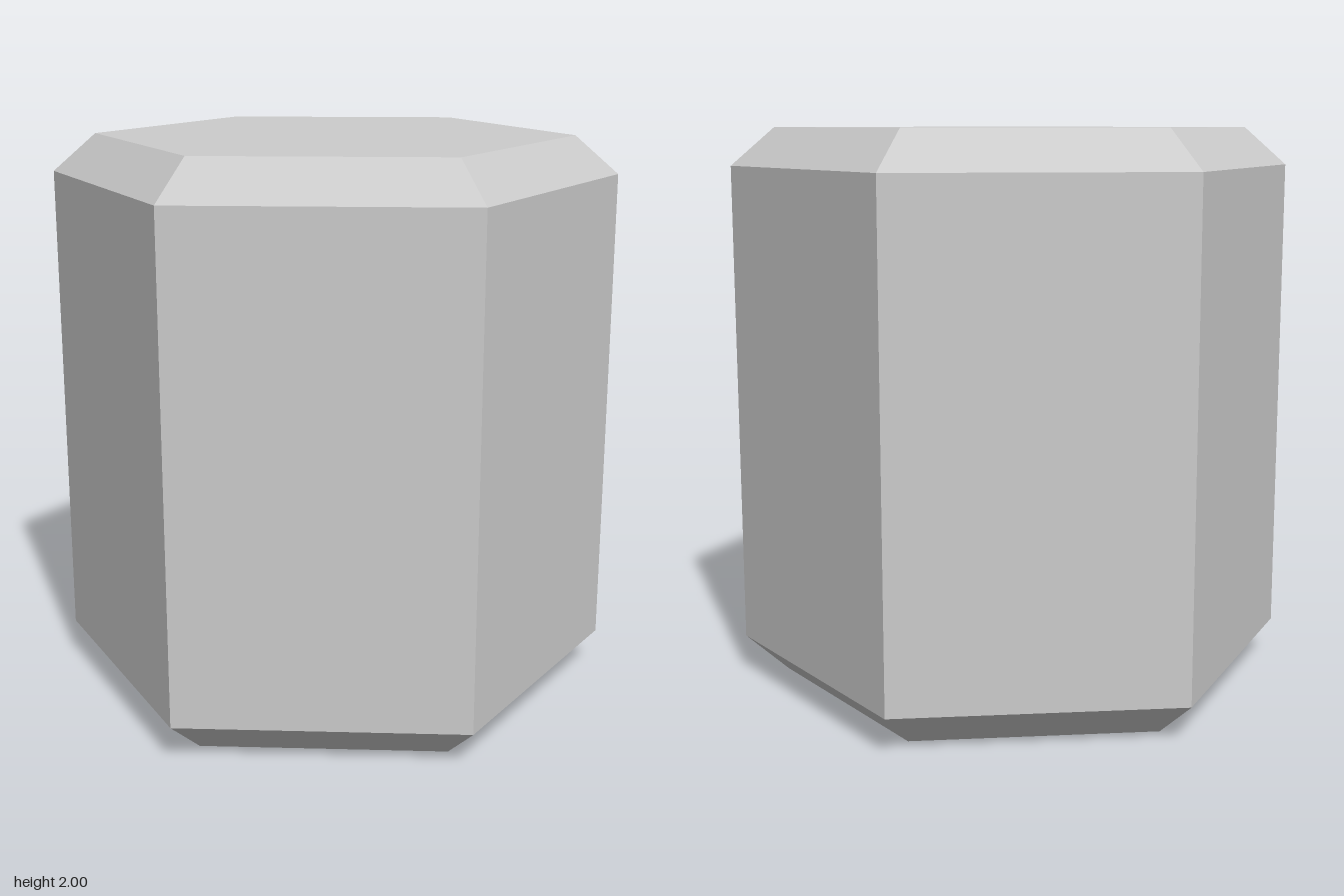
import * as THREE from 'three';

const APOTHEM = Math.sqrt(3) / 2; // hexagon with corner radius 1
const RIM = Math.sqrt(3) / 2; // half height at which the chamfer starts

// Half-space a*x + b*y + c*z <= d
const halfSpace = (a, b, c, d) => new THREE.Plane(new THREE.Vector3(a, b, c), -d).normalize();

// Convex solid bounded by half-spaces: find its corners, then fan each face
function solidFrom(planes) {
  const corners = [];
  const m = new THREE.Matrix3();
  for (let i = 0; i < planes.length; i++)
    for (let j = i + 1; j < planes.length; j++)
      for (let k = j + 1; k < planes.length; k++) {
        const [p, q, r] = [planes[i], planes[j], planes[k]];
        m.set(...p.normal.toArray(), ...q.normal.toArray(), ...r.normal.toArray());
        if (Math.abs(m.determinant()) < 1e-6) continue;
        const v = new THREE.Vector3(-p.constant, -q.constant, -r.constant).applyMatrix3(m.invert());
        if (planes.some((s) => s.distanceToPoint(v) > 1e-6)) continue;
        if (!corners.some((c) => c.distanceTo(v) < 1e-5)) corners.push(v);
      }

  const positions = [];
  for (const plane of planes) {
    const face = corners.filter((c) => Math.abs(plane.distanceToPoint(c)) < 1e-5);
    if (face.length < 3) continue;
    // Sort anticlockwise around the outward normal
    const mid = face.reduce((s, c) => s.add(c), new THREE.Vector3()).divideScalar(face.length);
    const u = face[0].clone().sub(mid).normalize();
    const w = plane.normal.clone().cross(u);
    const angle = (c) => Math.atan2(c.clone().sub(mid).dot(w), c.clone().sub(mid).dot(u));
    face.sort((a, b) => angle(a) - angle(b));
    for (let i = 1; i < face.length - 1; i++)
      for (const c of [face[0], face[i], face[i + 1]]) positions.push(c.x, c.y, c.z);
  }
  const geometry = new THREE.BufferGeometry();
  geometry.setAttribute('position', new THREE.Float32BufferAttribute(positions, 3));
  geometry.computeVertexNormals();
  return geometry;
}

export function createModel() {
  const model = new THREE.Group();
  model.name = 'fracturedHexPrism';
  const material = new THREE.MeshStandardMaterial({ color: 0xcccccc, flatShading: true });

  // One sixth of the prism, centred on the corner at +z, in four pieces
  const pieces = [];
  for (const [half, s] of [['upper', 1], ['lower', -1]]) {
    const shell = [halfSpace(0, s, 0, 1), halfSpace(0, -s, 0, 0)]; // cap and middle cut
    for (const side of [-1, 1]) {
      const nx = side * 0.5;
      const nz = APOTHEM;
      shell.push(halfSpace(nx, 0, nz, APOTHEM)); // wall
      shell.push(halfSpace(nx, s, nz, APOTHEM + RIM)); // 45 degree chamfer
      shell.push(halfSpace(side * nz, 0, -0.5, 0)); // radial cut
    }
    // Sloped cut from the centre separates the cap wedge from the wall wedge
    pieces.push([half + 'CapWedge', solidFrom([...shell, halfSpace(0, -s, 1, 0)])]);
    pieces.push([half + 'WallWedge', solidFrom([...shell, halfSpace(0, s, -1, 0)])]);
  }

  // Repeat the sector around the axis
  for (let i = 0; i < 6; i++) {
    const sector = new THREE.Group();
    sector.name = 'sector' + (i + 1);
    for (const [name, geometry] of pieces) {
      const mesh = new THREE.Mesh(geometry, material);
      mesh.name = name;
      sector.add(mesh);
    }
    sector.position.y = 1;
    sector.rotation.y = (i * Math.PI) / 3;
    model.add(sector);
  }
  return model;
}
